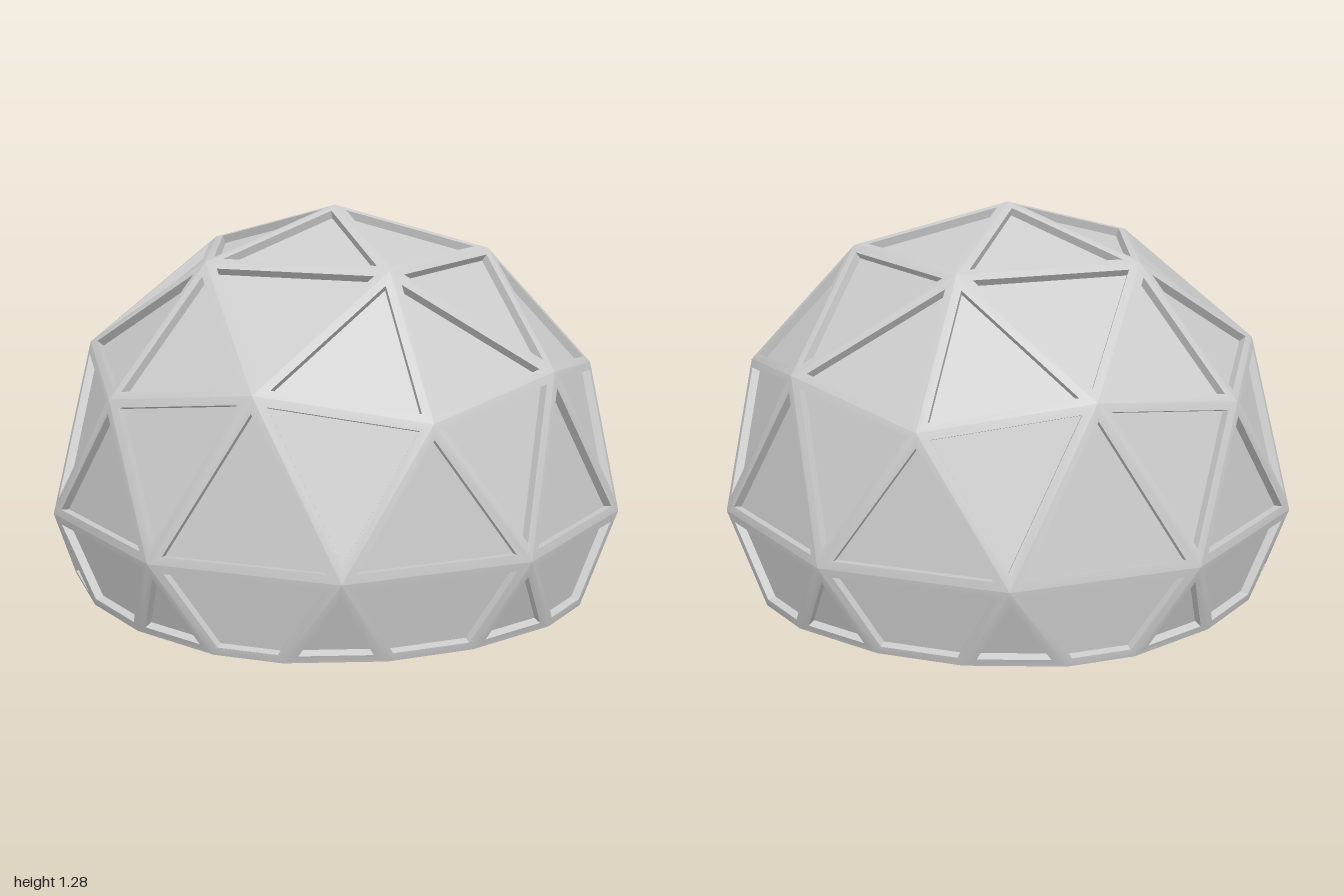
import * as THREE from 'three';
import { toCreasedNormals } from 'three/addons/utils/BufferGeometryUtils.js';

const CENTER_Y = 0.285;  // height of the sphere centre above the ground
const STRUT = 0.027;     // half width of a strut
const RECESS = 0.028;    // how deep the panels sit behind the struts
const INNER = 0.957;     // scale of the inner skin

// Triangles of a two-frequency geodesic sphere, one hub at the top
function sphereTriangles(scale) {
  const geo = new THREE.IcosahedronGeometry(1, 1);
  geo.rotateZ(-Math.atan(2 / (1 + Math.sqrt(5))));
  geo.scale(scale, scale, scale).translate(0, CENTER_Y, 0);
  const pos = geo.attributes.position;
  const tris = [];
  for (let i = 0; i < pos.count; i += 3) {
    tris.push([0, 1, 2].map(k => new THREE.Vector3().fromBufferAttribute(pos, i + k)));
  }
  return tris;
}

// Keep the part of a polygon above the ground
function clipToGround(poly) {
  const out = [];
  poly.forEach((a, i) => {
    const b = poly[(i + 1) % poly.length];
    if (a.y >= 0) out.push(a);
    if ((a.y >= 0) !== (b.y >= 0)) {
      const p = a.clone().lerp(b, a.y / (a.y - b.y));
      p.y = 0;
      out.push(p);
    }
  });
  return out;
}

function faceNormal(poly) {
  return new THREE.Triangle(poly[0], poly[1], poly[2]).getNormal(new THREE.Vector3());
}

// Move every edge of a polygon inwards by d
function insetPolygon(poly, d) {
  const n = faceNormal(poly);
  const count = poly.length;
  const inward = poly.map((a, i) =>
    n.clone().cross(poly[(i + 1) % count].clone().sub(a).normalize()));
  return poly.map((v, i) => {
    const n1 = inward[(i + count - 1) % count], n2 = inward[i];
    return v.clone().addScaledVector(n1.clone().add(n2), d / (1 + n1.dot(n2)));
  });
}

function addPolygon(list, ...poly) {
  for (let i = 1; i < poly.length - 1; i++) {
    for (const v of [poly[0], poly[i], poly[i + 1]]) list.push(v.x, v.y, v.z);
  }
}

function makeMesh(name, list) {
  const geo = new THREE.BufferGeometry();
  geo.setAttribute('position', new THREE.Float32BufferAttribute(list, 3));
  const mesh = new THREE.Mesh(
    toCreasedNormals(geo, name === 'panels' ? 0.05 : Math.PI / 6),
    new THREE.MeshStandardMaterial({ color: 0xcccccc }));
  mesh.name = name;
  return mesh;
}

export function createModel() {
  const struts = [], panels = [], innerSkin = [], baseRim = [];
  const innerTris = sphereTriangles(INNER);

  sphereTriangles(1).forEach((tri, t) => {
    const outer = clipToGround(tri);
    if (outer.length < 3) return;
    const inner = clipToGround(innerTris[t]);
    const edge = insetPolygon(outer, STRUT);
    const n = faceNormal(outer);
    const floor = edge.map(v => v.clone().addScaledVector(n, -RECESS));
    const innerEdge = insetPolygon(inner, STRUT);

    outer.forEach((a, i) => {
      const j = (i + 1) % outer.length;
      // strut face and the wall down to the panel
      addPolygon(struts, a, outer[j], edge[j], edge[i]);
      addPolygon(struts, edge[i], edge[j], floor[j], floor[i]);
      // inside band behind the strut
      addPolygon(innerSkin, inner[j], inner[i], innerEdge[i], innerEdge[j]);
      // underside where the shell meets the ground
      if (a.y === 0 && outer[j].y === 0) {
        addPolygon(baseRim, a, inner[i], inner[j], outer[j]);
      }
    });
    addPolygon(panels, ...floor);
    addPolygon(innerSkin, ...innerEdge.slice().reverse());
  });

  const group = new THREE.Group();
  group.name = 'geodesicDome';
  group.add(
    makeMesh('struts', struts),
    makeMesh('panels', panels),
    makeMesh('innerSkin', innerSkin),
    makeMesh('baseRim', baseRim));
  return group;
}
